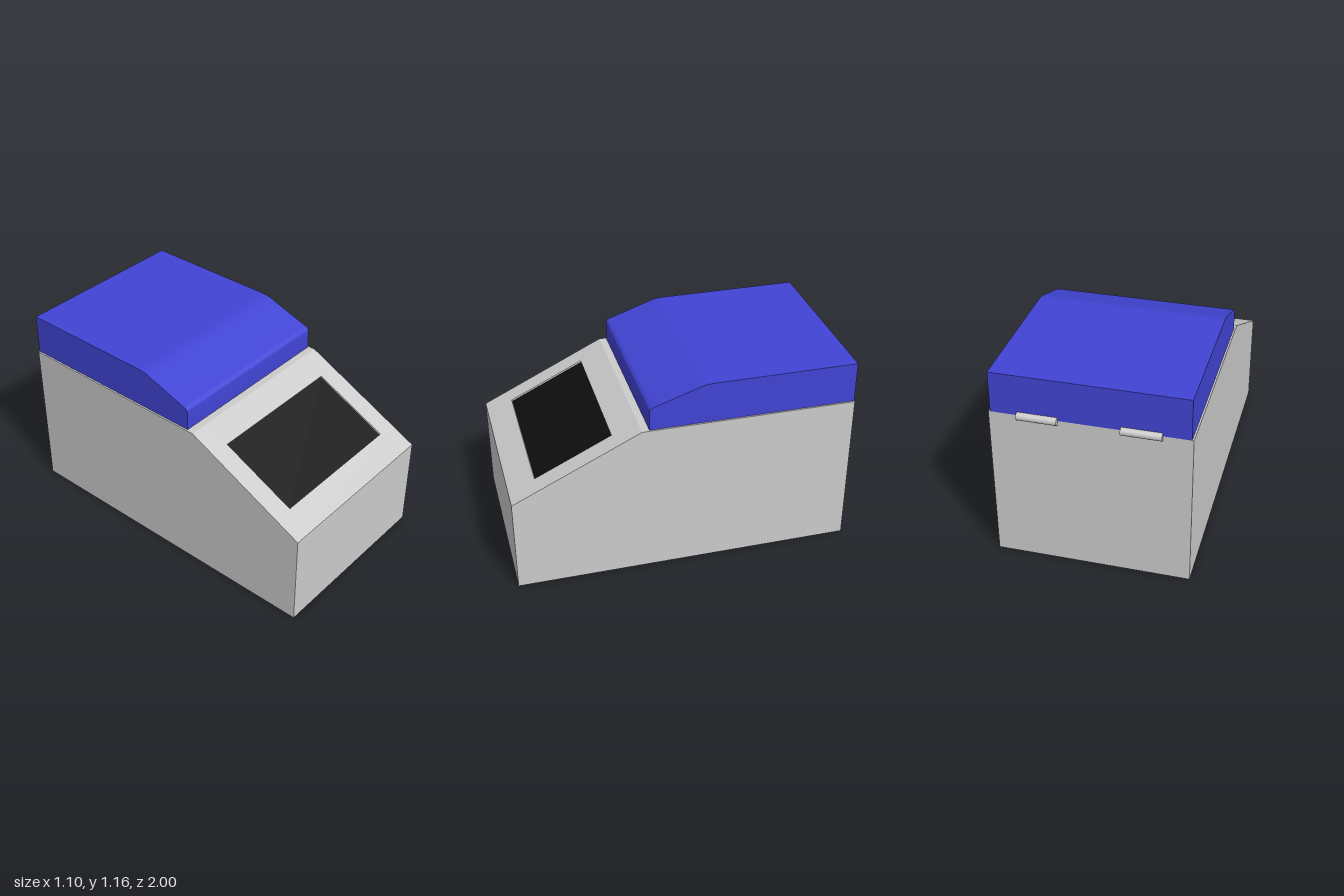
import * as THREE from 'three';
import { toCreasedNormals } from 'three/addons/utils/BufferGeometryUtils.js';

const grey = new THREE.MeshStandardMaterial({ color: 0xcccccc });
const blue = new THREE.MeshStandardMaterial({ color: 0x4144d4 });
const black = new THREE.MeshStandardMaterial({ color: 0x0e0e0e });

const W = 0.55, BACK = -0.97, FRONT = 1, TOP = 0.922, LIP = 0.567, RIDGE = 0.265;
const slopeY = (z) => LIP + (FRONT - z) * (TOP - LIP) / (FRONT - RIDGE);
const slope = Math.atan2(TOP - LIP, FRONT - RIDGE);

// Screen opening in the sloped face, and its shallow depth
const SX = 0.43, S_TOP = 0.41, S_LOW = 0.85, DEPTH = 0.01;
const onSlope = (x, z, d = 0) =>
  [x, slopeY(z) - d * Math.cos(slope), z - d * Math.sin(slope)];

// Flat-shaded quads, corners counter-clockwise seen from outside
function quads(list) {
  const pos = list.flatMap(([a, b, c, d]) => [a, b, c, a, c, d].flat());
  const geo = new THREE.BufferGeometry();
  geo.setAttribute('position', new THREE.Float32BufferAttribute(pos, 3));
  geo.computeVertexNormals();
  return geo;
}

function add(group, name, geo, material) {
  const mesh = new THREE.Mesh(geo, material);
  mesh.name = name;
  group.add(mesh);
  return mesh;
}

function makeBody() {
  const body = new THREE.Group();
  body.name = 'body';

  // Wraparound faces: bottom, front, top, back
  const profile = [[BACK, 0], [FRONT, 0], [FRONT, LIP], [RIDGE, TOP], [BACK, TOP]];
  const shell = [];
  profile.forEach(([z0, y0], i) => {
    if (i === 2) return; // the sloped face is framed separately
    const [z1, y1] = profile[(i + 1) % profile.length];
    shell.push([[-W, y0, z0], [W, y0, z0], [W, y1, z1], [-W, y1, z1]]);
  });
  add(body, 'bodyShell', quads(shell), grey);

  // Side walls
  const outline = new THREE.Shape(profile.map(([z, y]) => new THREE.Vector2(z, y)));
  for (const s of [1, -1]) {
    const mirrored = new THREE.Shape(outline.getPoints().map((p) => new THREE.Vector2(-s * p.x, p.y)));
    const side = add(body, s > 0 ? 'leftSide' : 'rightSide', new THREE.ShapeGeometry(mirrored), grey);
    side.rotation.y = s * Math.PI / 2;
    side.position.x = s * W;
  }

  // Sloped frame around the screen, with the walls of the recess
  const outer = [onSlope(-W, FRONT), onSlope(W, FRONT), onSlope(W, RIDGE), onSlope(-W, RIDGE)];
  const ring = (d) => [onSlope(-SX, S_LOW, d), onSlope(SX, S_LOW, d), onSlope(SX, S_TOP, d), onSlope(-SX, S_TOP, d)];
  const rim = ring(0), floor = ring(DEPTH), frame = [];
  for (let i = 0; i < 4; i++) {
    const j = (i + 1) % 4;
    frame.push([outer[i], outer[j], rim[j], rim[i]], [rim[i], rim[j], floor[j], floor[i]]);
  }
  add(body, 'screenFrame', quads(frame), grey);
  add(body, 'screen', quads([floor]), black);
  return body;
}

// Lid: side profile with softened bends, extruded across the width
function makeLid() {
  const half = 0.54;
  const s = new THREE.Shape();
  s.moveTo(BACK, TOP);
  s.lineTo(0.222, TOP);
  s.lineTo(0.222, 1.035);
  s.quadraticCurveTo(0.222, 1.053, 0.195, 1.063);
  s.lineTo(-0.06, 1.149);
  s.quadraticCurveTo(-0.095, 1.162, -0.14, 1.162);
  s.lineTo(BACK, 1.162);
  s.closePath();
  const geo = new THREE.ExtrudeGeometry(s, { depth: 2 * half, bevelEnabled: false, curveSegments: 10 });
  geo.translate(0, 0, -half);
  geo.rotateY(-Math.PI / 2);
  return toCreasedNormals(geo, 0.5);
}

export function createModel() {
  const model = new THREE.Group();
  model.name = 'benchtopInstrument';
  model.add(makeBody());
  add(model, 'lid', makeLid(), blue);

  // Hinge barrels along the rear seam
  for (const s of [1, -1]) {
    const geo = new THREE.CylinderGeometry(0.022, 0.022, 0.22, 24).rotateZ(Math.PI / 2);
    const hinge = add(model, s > 0 ? 'leftHinge' : 'rightHinge', geo, grey);
    hinge.position.set(s * 0.28, TOP, -0.978);
  }
  return model;
}
